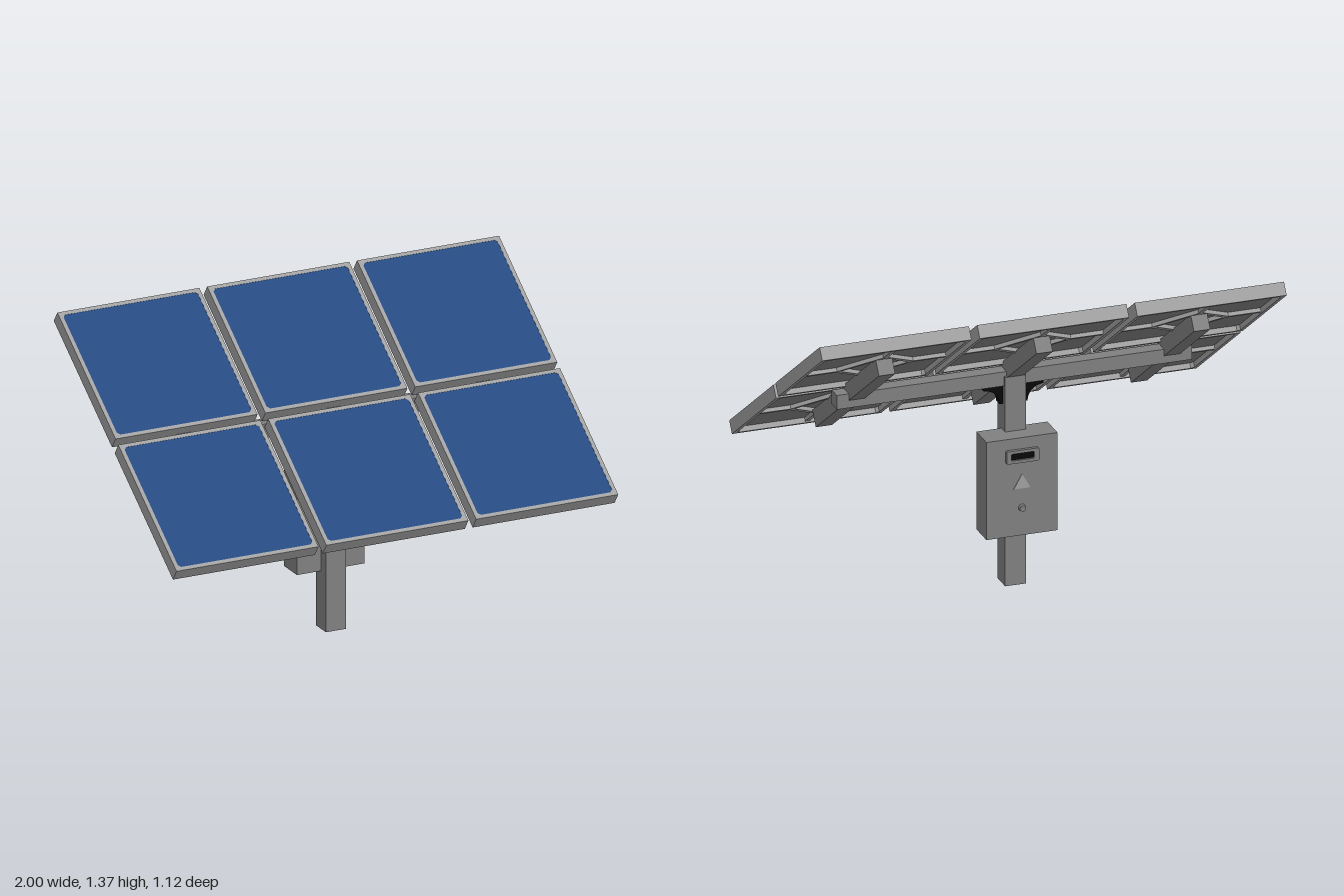
import * as THREE from 'three';

const mat = (name, color, extra = {}) => new THREE.MeshStandardMaterial({ name, color, ...extra });

export function createModel() {
  const frameGrey = mat('frameGrey', 0xa0a0a0);
  const steel = mat('steelGrey', 0x808080);
  const cellBlue = mat('cellBlue', 0x264a80);
  const black = mat('black', 0x080808);

  const model = new THREE.Group();
  model.name = 'solarTracker';

  const add = (parent, name, geometry, material, x = 0, y = 0, z = 0) => {
    const mesh = new THREE.Mesh(geometry, material);
    mesh.name = name;
    mesh.position.set(x, y, z);
    parent.add(mesh);
    return mesh;
  };
  const box = (parent, name, material, size, pos) =>
    add(parent, name, new THREE.BoxGeometry(...size), material, ...pos);

  // Rectangle outline with cut corners of size r
  const outline = (w, d, r, Type = THREE.Shape) => {
    const a = w / 2, b = d / 2;
    const pts = [[-a + r, -b], [a - r, -b], [a, -b + r], [a, b - r],
      [a - r, b], [-a + r, b], [-a, b - r], [-a, -b + r]];
    return new Type(pts.map(p => new THREE.Vector2(...p)));
  };
  // Flat extrusion lying in xz, its top at y
  const slab = (shape, thick, y) =>
    new THREE.ExtrudeGeometry(shape, { depth: thick, bevelEnabled: false })
      .rotateX(-Math.PI / 2).translate(0, y - thick, 0);

  // ---- Tilted array ----
  const array = new THREE.Group();
  array.name = 'tiltedArray';
  array.position.set(0, 0.9875, 0.0175);
  array.rotation.x = THREE.MathUtils.degToRad(35);
  model.add(array);

  const W = 0.643, D = 0.646, T = 0.057;
  const frameShape = new THREE.Shape([[-W, -D], [W, -D], [W, D], [-W, D]]
    .map(([x, y]) => new THREE.Vector2(x / 2, y / 2)));
  frameShape.holes.push(outline(W - 0.034, D - 0.034, 0.012, THREE.Path));
  const frameGeo = slab(frameShape, T, 0);
  const glassGeo = slab(outline(W - 0.034, D - 0.034, 0.012), 0.006, -0.001);

  // Back ribs: one from each edge midpoint, forking into a diamond
  const rib = (parent, a, b) => {
    const dx = b[0] - a[0], dz = b[1] - a[1];
    const m = box(parent, 'backRib', frameGrey, [Math.hypot(dx, dz), 0.018, 0.02],
      [(a[0] + b[0]) / 2, -0.042, (a[1] + b[1]) / 2]);
    m.rotation.y = Math.atan2(-dz, dx);
  };
  const addPanel = (x, z) => {
    const panel = new THREE.Group();
    panel.name = 'solarPanel';
    panel.position.set(x, 0, z);
    array.add(panel);
    add(panel, 'panelFrame', frameGeo, frameGrey);
    add(panel, 'panelCells', glassGeo, cellBlue);
    box(panel, 'backSheet', steel, [W - 0.03, 0.025, D - 0.03], [0, -0.022, 0]);
    const dirs = [[1, 0], [0, 1], [-1, 0], [0, -1]];
    dirs.forEach((d, i) => {
      const n = dirs[(i + 1) % 4];
      rib(panel, [d[0] * 0.31, d[1] * 0.31], [d[0] * 0.16, d[1] * 0.16]);
      rib(panel, [d[0] * 0.16, d[1] * 0.16], [n[0] * 0.16, n[1] * 0.16]);
    });
  };
  for (const x of [-0.6785, 0, 0.6785]) {
    for (const z of [-0.338, 0.338]) addPanel(x, z);
    box(array, 'supportRail', steel, [0.07, 0.072, 0.925], [x, -0.081, -0.012]);
  }

  // ---- Cross beam and post ----
  box(model, 'crossBeam', steel, [1.53, 0.062, 0.062], [0, 0.909, -0.046]);
  box(model, 'post', steel, [0.09, 0.92, 0.09], [0, 0.46, -0.045]);

  // Curved gussets between post and beam
  for (const side of [-1, 1]) {
    const curve = new THREE.Shape();
    curve.moveTo(0.04, 0.88);
    curve.lineTo(0.04, 0.795);
    curve.lineTo(0.06, 0.795);
    curve.quadraticCurveTo(0.065, 0.855, 0.13, 0.862);
    curve.lineTo(0.13, 0.88);
    const geo = new THREE.ExtrudeGeometry(curve, { depth: 0.04, bevelEnabled: false, curveSegments: 8 })
      .translate(0, 0, -0.02);
    const g = add(model, 'gusset', geo, black, 0, 0, -0.045);
    if (side < 0) g.rotation.y = Math.PI;
  }

  // ---- Control box on the back of the post ----
  box(model, 'controlBox', steel, [0.306, 0.43, 0.12], [0, 0.465, -0.106]);
  const bezel = outline(0.14, 0.056, 0.004);
  bezel.holes.push(outline(0.1, 0.03, 0.004, THREE.Path));
  add(model, 'displayBezel',
    new THREE.ExtrudeGeometry(bezel, { depth: 0.015, bevelEnabled: false }), steel, 0, 0.603, -0.18);
  box(model, 'displayScreen', black, [0.1, 0.03, 0.006], [0, 0.603, -0.168]);
  const plate = new THREE.CylinderGeometry(0.042, 0.042, 0.003, 3).rotateX(-Math.PI / 2);
  add(model, 'triangularPlate', plate, frameGrey, 0, 0.478, -0.167);
  const knob = new THREE.CylinderGeometry(0.013, 0.016, 0.016, 16).rotateX(-Math.PI / 2);
  add(model, 'doorKnob', knob, steel, 0, 0.372, -0.172);

  return model;
}
